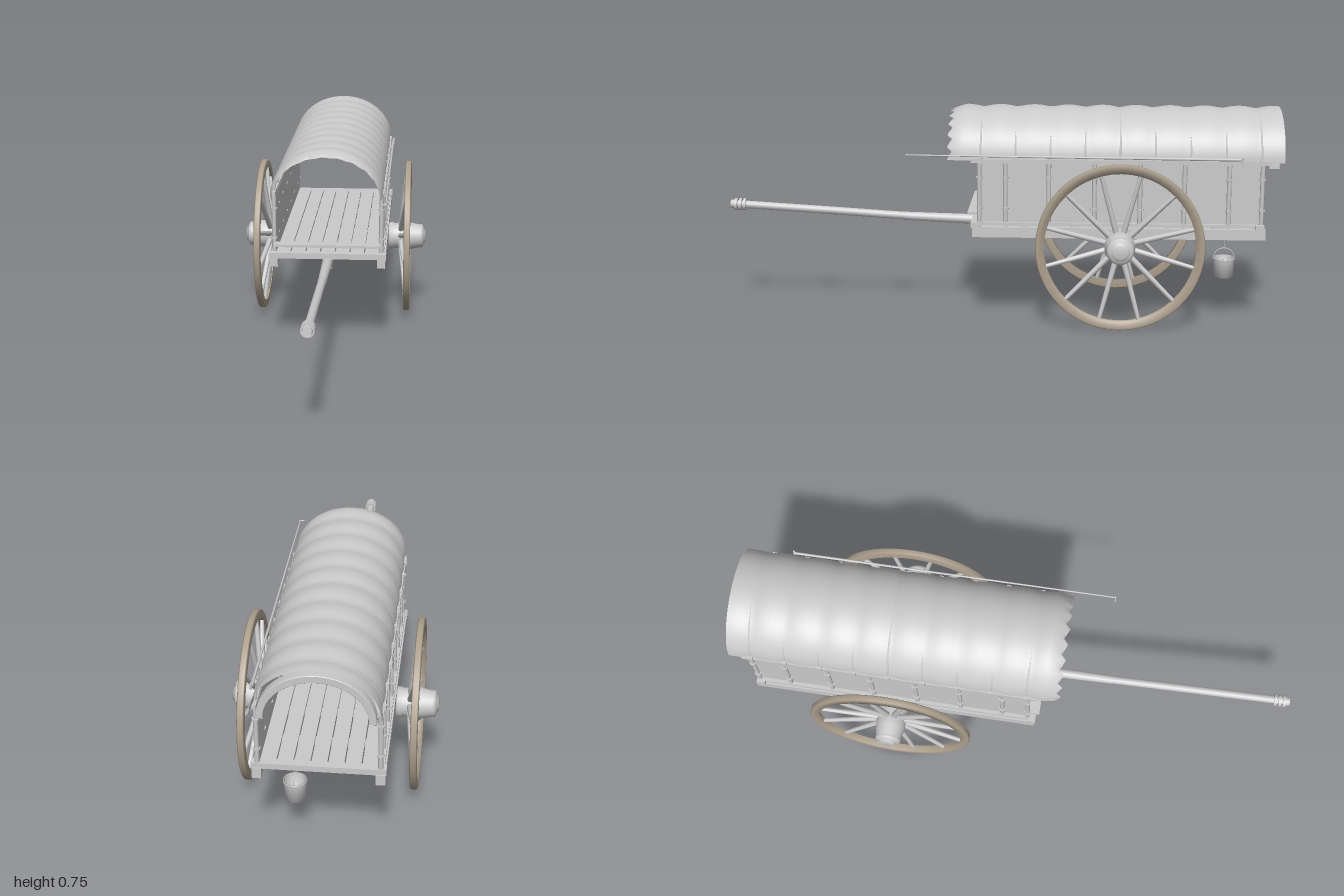
import * as THREE from 'three';

const grey = new THREE.MeshStandardMaterial({ color: 0xcacaca });
grey.name = 'paleGrey';
const canvas = new THREE.MeshStandardMaterial({ color: 0xcacaca, side: THREE.DoubleSide });
canvas.name = 'canvasGrey';
const tan = new THREE.MeshStandardMaterial({ color: 0xada08e });
tan.name = 'rimTan';

const AXLE_Y = 0.296, AXLE_Z = -0.43;
const hoopZ = Array.from({ length: 9 }, (_, i) => 0.06 - i * 0.1225);
const postZ = [0.065, -0.027, -0.18, -0.34, -0.5, -0.655, -0.81, -0.925];

function add(parent, name, geo, x = 0, y = 0, z = 0, mat = grey) {
  const m = new THREE.Mesh(geo, mat);
  m.name = name;
  m.position.set(x, y, z);
  parent.add(m);
  return m;
}
const box = (p, name, w, h, d, x, y, z) => add(p, name, new THREE.BoxGeometry(w, h, d), x, y, z);
const cyl = (r1, r2, h, n = 12) => new THREE.CylinderGeometry(r1, r2, h, n);
const v = (x, y, z) => new THREE.Vector3(x, y, z);
const lathe = (pts, n) => new THREE.LatheGeometry(pts.map(([r, y]) => new THREE.Vector2(r, y)), n);

// round bar between two points
function bar(p, name, a, b, r1, r2 = r1, n = 8) {
  const d = b.clone().sub(a);
  const m = add(p, name, cyl(r2, r1, d.length(), n));
  m.position.copy(a).addScaledVector(d, 0.5);
  m.quaternion.setFromUnitVectors(v(0, 1, 0), d.normalize());
  return m;
}

// wheel with its axis along +y, later turned to point outwards
function wheel(side) {
  const g = new THREE.Group();
  g.name = side > 0 ? 'leftWheel' : 'rightWheel';
  const c = 0.284;
  add(g, 'rim', lathe([[0.264, -0.012], [0.291, -0.012], [0.295, -0.008], [0.295, 0.008],
    [0.291, 0.012], [0.264, 0.012], [0.264, -0.012]], 48), 0, 0, 0, tan);
  add(g, 'hub', lathe([[0, 0.208 - c], [0.048, 0.208 - c], [0.053, 0.214 - c], [0.053, 0.228 - c],
    [0.049, 0.232 - c], [0.054, 0.27 - c], [0.053, 0.295 - c], [0.045, 0.332 - c], [0.047, 0.333 - c],
    [0.046, 0.342 - c], [0.036, 0.347 - c], [0.026, 0.348 - c], [0.026, 0.355 - c], [0, 0.355 - c]], 24));
  for (let i = 0; i < 12; i++) {
    const a = (i + 0.5) * Math.PI / 6, s = Math.sin(a), k = Math.cos(a);
    bar(g, 'spoke', v(0.045 * s, -0.026, 0.045 * k), v(0.268 * s, -0.004, 0.268 * k), 0.011, 0.0075);
  }
  g.rotation.z = -side * Math.PI / 2;
  g.position.set(side * c, AXLE_Y, AXLE_Z);
  return g;
}

// canvas cover: arched sheet that swells between the hoops, ragged at the front
function coverGeometry() {
  const pos = [], idx = [], nz = 60, na = 32, z0 = 0.18, z1 = -1;
  for (let i = 0; i <= nz; i++) {
    const z = z0 + (z1 - z0) * i / nz;
    const swell = 0.009 * Math.abs(Math.sin(Math.PI * (z - 0.06) / 0.1225)) - (i < 3 ? 0.004 * (3 - i) : 0);
    for (let j = 0; j <= na; j++) {
      const a = Math.PI * j / na;
      const ragged = i === 0 ? -0.016 * (j % 3) / 2 : 0;
      pos.push(Math.cos(a) * (0.197 + swell * 0.5), 0.585 + Math.sin(a) * (0.162 + swell), z + ragged);
      if (i < nz && j < na) {
        const p = i * (na + 1) + j, q = p + na + 1;
        idx.push(p, p + 1, q, p + 1, q + 1, q);
      }
    }
  }
  const g = new THREE.BufferGeometry();
  g.setAttribute('position', new THREE.Float32BufferAttribute(pos, 3));
  g.setIndex(idx);
  g.computeVertexNormals();
  return g;
}

export function createModel() {
  const root = new THREE.Group();
  root.name = 'coveredCart';

  // running gear
  root.add(wheel(1), wheel(-1));
  box(root, 'axle', 0.43, 0.043, 0.045, 0, 0.297, AXLE_Z);

  // floor frame and planks
  for (const z of [0.075, -0.1, -0.27, -0.43, -0.6, -0.77, -0.915])
    box(root, 'crossBeam', 0.4, 0.014, 0.03, 0, 0.35, z);
  for (let i = 0; i < 7; i++)
    box(root, 'floorPlank', 0.05, 0.01, 0.99, (i - 3) * 0.0535, 0.36, -0.43);
  box(root, 'frontSill', 0.426, 0.02, 0.03, 0, 0.355, 0.08);
  box(root, 'rearSill', 0.426, 0.02, 0.03, 0, 0.355, -0.92);
  box(root, 'frontBoard', 0.385, 0.009, 0.045, 0, 0.395, 0.085);

  // sides
  for (const s of [1, -1]) {
    const g = new THREE.Group();
    g.name = s > 0 ? 'leftSide' : 'rightSide';
    root.add(g);
    box(g, 'sill', 0.03, 0.037, 1.03, s * 0.195, 0.33, -0.425);
    box(g, 'wallPanel', 0.006, 0.225, 0.99, s * 0.189, 0.472, -0.43);
    box(g, 'lowerRail', 0.02, 0.012, 1.01, s * 0.195, 0.359, -0.43);
    box(g, 'topRail', 0.018, 0.014, 1.05, s * 0.196, 0.584, -0.43);
    for (const z of postZ) {
      add(g, 'post', cyl(0.008, 0.008, 0.235, 8), s * 0.194, 0.467, z);
      for (const y of [0.415, 0.525])
        add(g, 'postBand', cyl(0.0125, 0.0125, 0.005, 10), s * 0.194, y, z);
    }
    for (const z of hoopZ) box(g, 'hoopSocket', 0.014, 0.022, 0.016, s * 0.201, 0.586, z);
  }

  // cover, hoops and rolled rear curtain
  add(root, 'cover', coverGeometry(), 0, 0, 0, canvas);
  for (const z of hoopZ) {
    const pts = Array.from({ length: 13 }, (_, j) => {
      const a = Math.PI * j / 12;
      return v(Math.cos(a) * 0.195, 0.583 + Math.sin(a) * 0.1595, z);
    });
    add(root, 'hoop', new THREE.TubeGeometry(new THREE.CatmullRomCurve3(pts), 32, 0.0055, 6));
  }
  const roll = new THREE.Shape();
  roll.absellipse(0, 0.565, 0.183, 0.159, 0, Math.PI, false);
  roll.lineTo(-0.164, 0.565);
  roll.absellipse(0, 0.565, 0.164, 0.138, Math.PI, 0, true);
  add(root, 'rearCurtainRoll', new THREE.ExtrudeGeometry(roll, {
    depth: 0.03, curveSegments: 24, bevelEnabled: true, bevelSize: 0.002, bevelThickness: 0.004, bevelSegments: 2,
  }), 0, 0, -0.98);

  // draw pole
  box(root, 'poleButt', 0.034, 0.036, 0.54, 0, 0.328, -0.17);
  const polePath = new THREE.CatmullRomCurve3([v(0, 0.329, 0.05), v(0, 0.338, 0.3), v(0, 0.356, 0.6), v(0, 0.379, 0.99)]);
  add(root, 'pole', new THREE.TubeGeometry(polePath, 20, 0.0145, 12));
  bar(root, 'poleSleeve', v(0, 0.329, 0.05), v(0, 0.34, 0.35), 0.019, 0.0155, 12);
  for (const z of [0.948, 0.964, 0.98])
    bar(root, 'poleRing', v(0, 0.3765, z - 0.005), v(0, 0.377, z + 0.005), 0.0225, 0.0225, 16);
  bar(root, 'poleTip', v(0, 0.377, 0.98), v(0, 0.379, 1), 0.018, 0.015, 16);

  // hanging bucket
  const bucket = new THREE.Group();
  bucket.name = 'bucket';
  bucket.position.set(0.092, 0.15, -0.81);
  root.add(bucket);
  add(bucket, 'pail', lathe([[0, 0], [0.033, 0], [0.038, 0.064], [0.04, 0.065], [0.04, 0.072],
    [0.036, 0.072], [0.03, 0.006], [0, 0.006]], 20));
  add(bucket, 'handle', new THREE.TorusGeometry(0.037, 0.0018, 5, 20, Math.PI), 0, 0.068, 0).rotation.y = Math.PI / 2;
  add(bucket, 'rope', cyl(0.0018, 0.0018, 0.1, 6), 0, 0.152, 0);

  // long rod with a hooked end along the left rail
  bar(root, 'rod', v(0.215, 0.598, -0.85), v(0.215, 0.605, 0.32), 0.005, 0.0025);
  bar(root, 'rodHook', v(0.199, 0.605, 0.32), v(0.219, 0.605, 0.32), 0.0025);
  bar(root, 'rodGrip', v(0.218, 0.582, -0.85), v(0.218, 0.605, -0.85), 0.004);
  return root;
}
